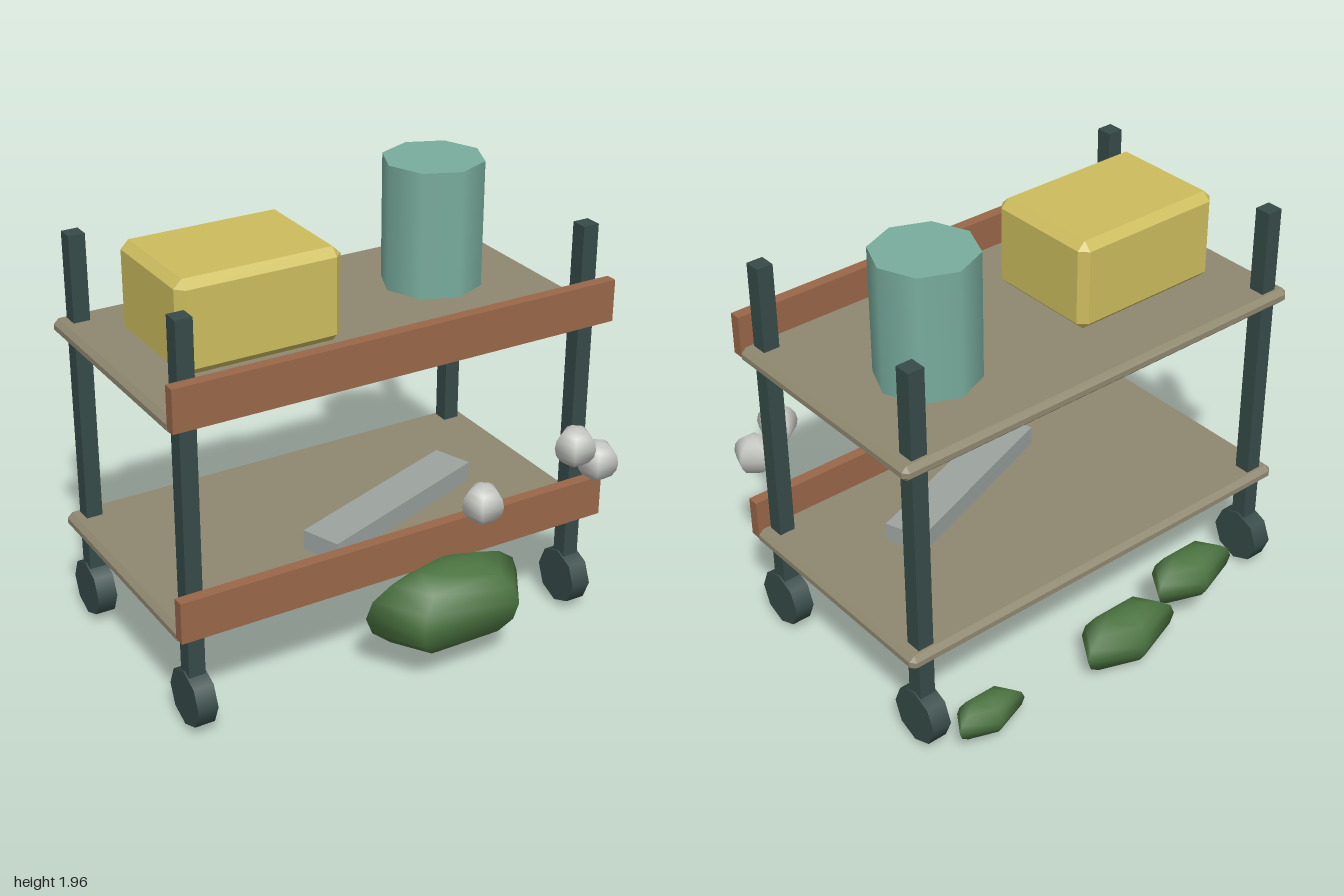
import * as THREE from 'three';
import { ConvexGeometry } from 'three/addons/geometries/ConvexGeometry.js';

const paint = (name, color) => {
  const m = new THREE.MeshStandardMaterial({ color });
  m.name = name;
  return m;
};

// Box with chamfered edges: three shifted corner points at each of the eight corners
function chamferBox(w, h, d, b) {
  const pts = [];
  for (const sx of [-1, 1]) for (const sy of [-1, 1]) for (const sz of [-1, 1]) {
    for (const [ix, iy, iz] of [[0, b, b], [b, 0, b], [b, b, 0]]) {
      pts.push(new THREE.Vector3(sx * (w / 2 - ix), sy * (h / 2 - iy), sz * (d / 2 - iz)));
    }
  }
  return new ConvexGeometry(pts);
}

export function createModel() {
  const model = new THREE.Group();
  model.name = 'shelfCart';

  const frame = paint('darkFrame', 0x364b48);
  const shelfMat = paint('shelfTaupe', 0x8f8870);
  const wood = paint('railBrown', 0x996748);
  const yellow = paint('boxYellow', 0xcdbd5e);
  const teal = paint('canisterTeal', 0x79ad9e);
  const grey = paint('plankGrey', 0x9ca39f);
  const green = paint('leafGreen', 0x4b7340);
  const pale = paint('paleGrey', 0xc3c5c0);

  const add = (name, geometry, material, x, y, z) => {
    const mesh = new THREE.Mesh(geometry, material);
    mesh.name = name;
    mesh.position.set(x, y, z);
    model.add(mesh);
    return mesh;
  };

  // Two shelves, each with a rail along the front
  const midZ = -0.017;
  const shelf = chamferBox(2, 0.068, 1.087, 0.022);
  const rail = new THREE.BoxGeometry(2, 0.182, 0.05);
  for (const [level, y] of [['lower', 0.48], ['upper', 1.387]]) {
    add(level + 'Shelf', shelf, shelfMat, 0, y, midZ);
    add(level + 'Rail', rail, wood, 0, y + 0.086, 0.531);
  }

  // Corner posts standing on eight-sided wheels
  const post = new THREE.BoxGeometry(0.072, 1.647, 0.072);
  const wheel = new THREE.CylinderGeometry(0.125, 0.125, 0.088, 8).rotateZ(Math.PI / 2);
  for (const [sideName, x] of [['Left', 0.91], ['Right', -0.91]]) {
    for (const [endName, z] of [['front', midZ + 0.475], ['back', midZ - 0.475]]) {
      add(endName + sideName + 'Post', post, frame, x, 0.9735, z);
      add(endName + sideName + 'Wheel', wheel, frame, x, 0.152, z);
    }
  }

  // Things on the shelves
  add('storageBox', chamferBox(0.72, 0.398, 0.535, 0.035), yellow, -0.455, 1.624, midZ);
  add('canister', new THREE.CylinderGeometry(0.217, 0.217, 0.55, 8), teal, 0.543, 1.695, -0.107);
  add('plank', new THREE.BoxGeometry(0.91, 0.088, 0.179), grey, 0.175, 0.568, 0.17).rotation.y = 0.35;

  // Five-sided rounded lumps, one corner pointing backwards
  const lump = new THREE.SphereGeometry(1, 5, 8).rotateY(-Math.PI / 2);
  const leaves = [
    [0.2, 0.321, 0.62, 0.394, 0.196],
    [-0.41, 0.279, -0.653, 0.226, 0.113],
    [-0.045, 0.138, -0.652, 0.259, 0.13],
    [0.705, 0.139, -0.654, 0.176, 0.088],
  ];
  for (const [x, y, z, rx, r] of leaves) add('leafClump', lump, green, x, y, z).scale.set(rx, r, r);
  for (const [x, y] of [[0.329, 0.757], [0.783, 0.898], [0.906, 0.8]]) {
    add('paleBall', lump, pale, x, y, 0.64).scale.setScalar(0.089);
  }

  return model;
}
